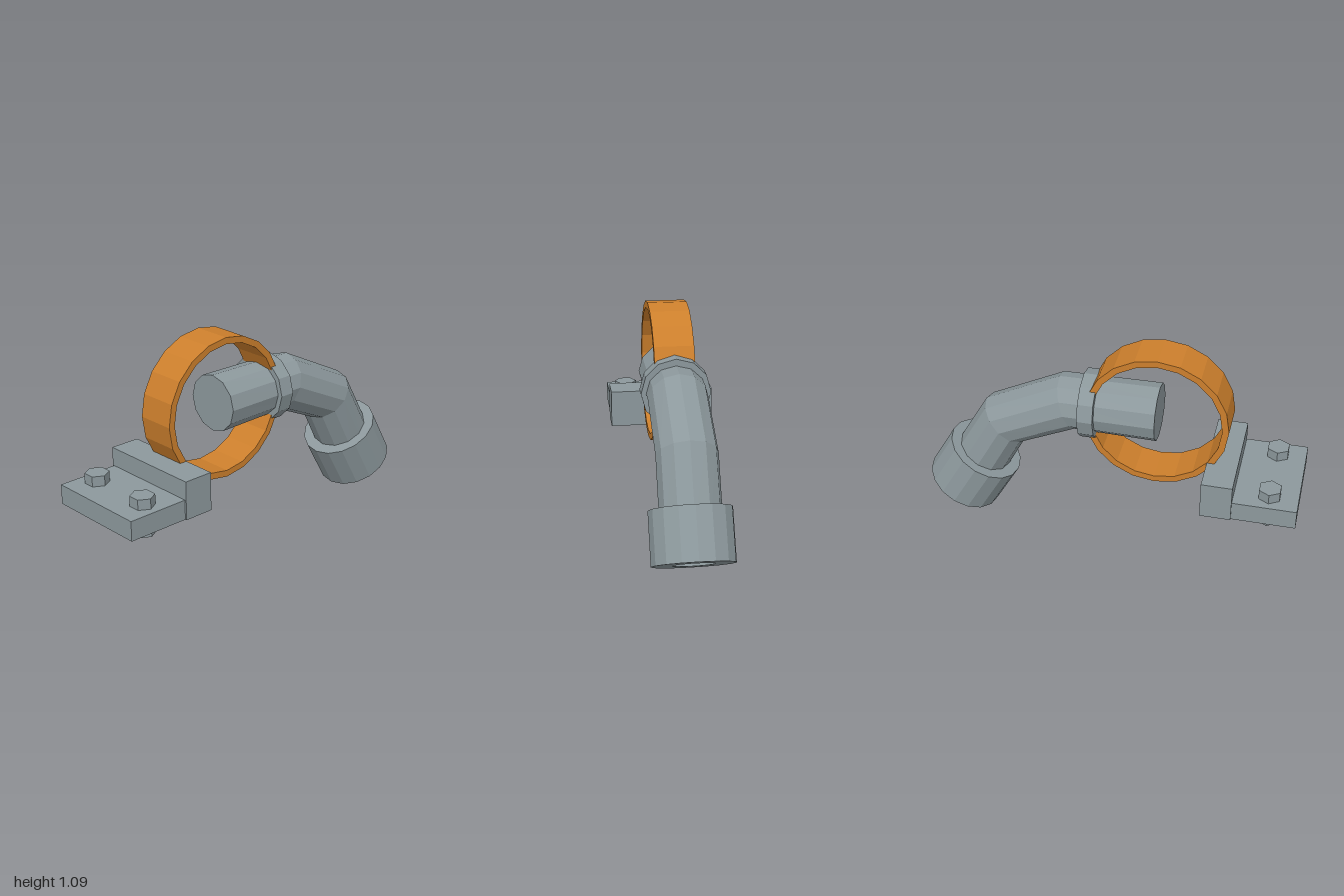
import * as THREE from 'three';

const steel = new THREE.MeshStandardMaterial({ color: 0x8c989c, flatShading: true });
const bronze = new THREE.MeshStandardMaterial({ color: 0xcc7f2c, flatShading: true });

// Sweep a polygon through stations [x, y, downward tilt in degrees, radius].
function sweep(stations, sides) {
  const pos = [], index = [];
  for (const [x, y, tilt, r] of stations) {
    const t = THREE.MathUtils.degToRad(tilt);
    for (let j = 0; j < sides; j++) {
      const a = (j / sides) * Math.PI * 2;
      const up = r * Math.cos(a);
      pos.push(x + up * Math.sin(t), y + up * Math.cos(t), 1.02 * r * Math.sin(a));
    }
  }
  for (let i = 0; i < stations.length - 1; i++) {
    for (let j = 0; j < sides; j++) {
      const k = (j + 1) % sides;
      const a = i * sides + j, b = i * sides + k, c = b + sides, d = a + sides;
      index.push(a, b, c, a, c, d);
    }
  }
  const geo = new THREE.BufferGeometry();
  geo.setAttribute('position', new THREE.Float32BufferAttribute(pos, 3));
  geo.setIndex(index);
  geo.computeVertexNormals();
  return geo;
}

const lathe = (points, sides) =>
  new THREE.LatheGeometry(points.map(([r, y]) => new THREE.Vector2(r, y)), sides);

export function createModel() {
  const group = new THREE.Group();
  const add = (name, geo, material, x, y, z) => {
    const mesh = new THREE.Mesh(geo, material);
    mesh.name = name;
    mesh.position.set(x, y, z);
    group.add(mesh);
    return mesh;
  };

  // Bent pipe, closed at both ends
  const r = 0.149;
  add('bentPipe', sweep([
    [-0.25, 0.725, 0, 0], [-0.25, 0.725, 0, r],
    [0.221, 0.725, 19, r], [0.565, 0.56, 43.5, r],
    [0.72, 0.28, 60, r], [0.72, 0.28, 60, 0],
  ], 12), steel, 0, 0, 0);

  // Collar around the straight part of the pipe
  const collar = add('collar', new THREE.CylinderGeometry(0.178, 0.178, 0.081, 12), steel, 0.101, 0.725, 0);
  collar.rotation.z = Math.PI / 2;

  // Nozzle with a blind bore
  const nozzle = add('nozzle', lathe([
    [0, 0.094], [0.103, 0.094], [0.103, 0], [0.204, 0], [0.204, 0.264], [0, 0.264],
  ], 16), steel, 0.822, 0.103, 0);
  nozzle.rotation.z = Math.PI / 6;

  // Upright ring between the pipe and the bracket
  const ring = add('ring', lathe([
    [0.336, 0.103], [0.336, -0.103], [0.37, -0.103], [0.37, 0.103], [0.336, 0.103],
  ], 20), bronze, -0.25, 0.725, 0);
  ring.rotation.x = Math.PI / 2;

  // Mounting bracket
  add('mountingPlate', new THREE.BoxGeometry(0.33, 0.103, 0.544), steel, -0.835, 0.3735, 0);
  add('mountingBlock', new THREE.BoxGeometry(0.158, 0.2, 0.562), steel, -0.596, 0.422, 0);

  // Hexagonal bolts through the plate
  for (const side of [-1, 1]) {
    add('bolt', new THREE.CylinderGeometry(0.061, 0.061, 0.198, 6), steel, -0.853, 0.379, side * 0.175);
  }
  return group;
}
